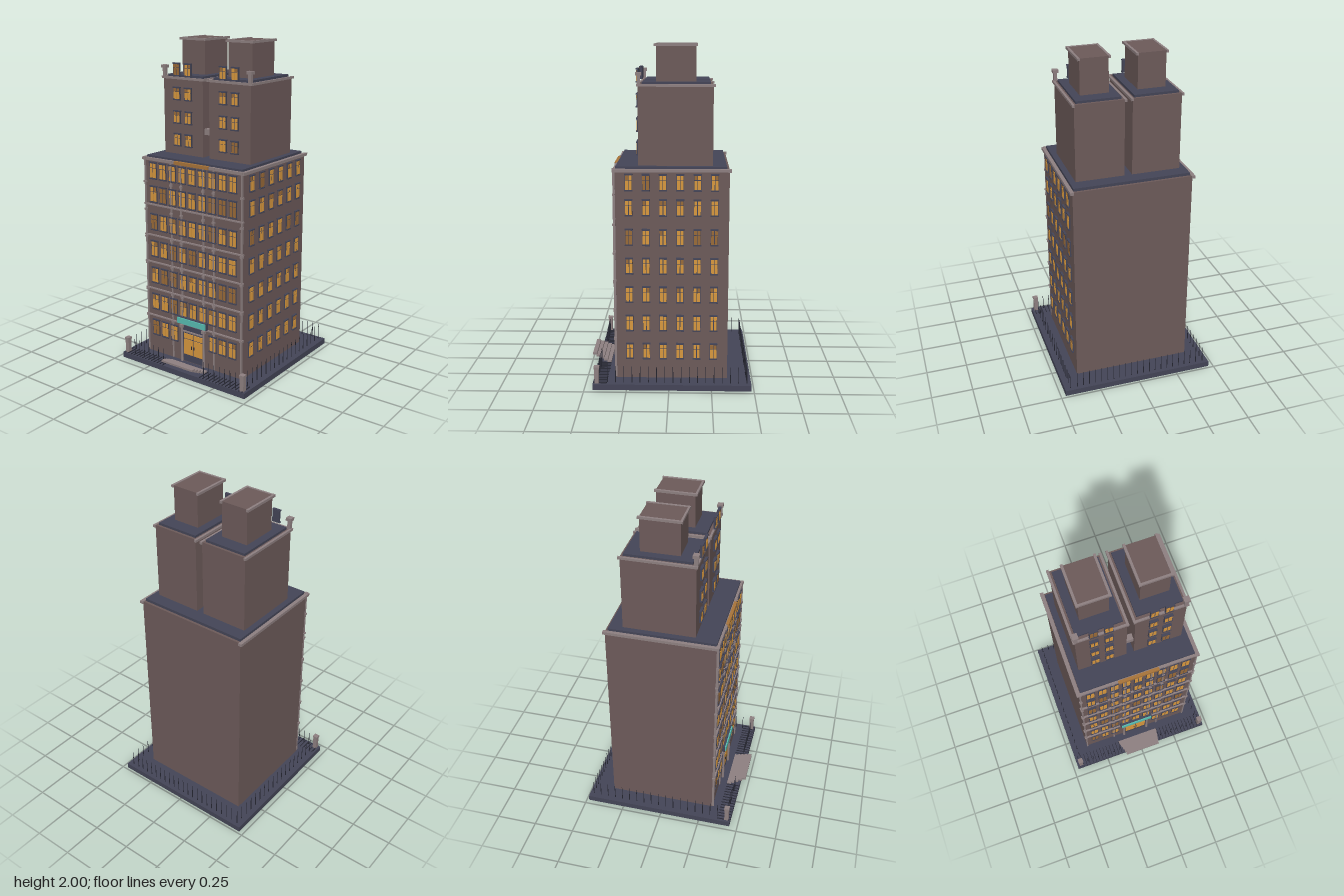
import * as THREE from 'three';

const mat = (name, color) => {
  const m = new THREE.MeshStandardMaterial({ color });
  m.name = name;
  return m;
};

export function createModel() {
  const M = {
    wall: mat('brown stone', 0x6d5b5a),
    trim: mat('pale stone', 0x8e8081),
    slate: mat('dark slate', 0x444557),
    lit: mat('lit amber', 0xd8983f),
    dim: mat('dim amber', 0x9a6b39),
    iron: mat('black iron', 0x2b2c38),
    teal: mat('teal canopy', 0x58bdb2),
    wood: mat('amber wood', 0xa8743a),
  };
  const root = new THREE.Group();
  root.name = 'towerBlock';
  const group = (name, parent = root) => {
    const g = new THREE.Group();
    g.name = name;
    parent.add(g);
    return g;
  };
  const unit = new THREE.BoxGeometry(1, 1, 1);
  // box given by its limits on each axis
  const box = (name, m, x0, x1, y0, y1, z0, z1, parent = root) => {
    const b = new THREE.Mesh(unit, m);
    b.name = name;
    b.scale.set(x1 - x0, y1 - y0, z1 - z0);
    b.position.set((x0 + x1) / 2, (y0 + y1) / 2, (z0 + z1) / 2);
    parent.add(b);
    return b;
  };
  // three-sided eaves: both sides and the front
  const eaves = (name, x0, x1, y0, y1, z0, z1, t) => {
    const g = group(name);
    box('eaveLeft', M.trim, x1 - t, x1, y0, y1, z0, z1, g);
    box('eaveRight', M.trim, x0, x0 + t, y0, y1, z0, z1, g);
    box('eaveFront', M.trim, x0 + t, x1 - t, y0, y1, z1 - t, z1 - 0.002, g);
  };
  // repeatable sequence for dimmed panes
  let seed = 7;
  const rand = () => (seed = (seed * 16807) % 2147483647) / 2147483647;

  // two-leaf window facing +z, with its back on z = 0
  const makeWindow = (name, w, h, x, y, z, parent, d = 0.008) => {
    const g = group(name, parent);
    g.position.set(x, y, z);
    box('frame', M.slate, -w / 2, w / 2, -h / 2, h / 2, -0.002, d, g);
    const leaf = rand() < 0.2 ? M.dim : M.lit;
    for (const s of [-1, 1]) {
      const cx = s * w * 0.245, pw = w * 0.2;
      box('lowerPane', leaf, cx - pw, cx + pw, -h * 0.45, h * 0.14, d, d + 0.002, g);
      box('upperPane', rand() < 0.3 ? M.dim : leaf, cx - pw, cx + pw, h * 0.18, h * 0.44, d, d + 0.002, g);
    }
    box('sill', M.slate, -w * 0.56, w * 0.56, -h / 2 - 0.004, -h / 2 + 0.002, 0, d + 0.005, g);
    box('lintel', M.slate, -w * 0.56, w * 0.56, h / 2 - 0.002, h / 2 + 0.005, 0, d + 0.005, g);
    return g;
  };

  // ground slab and main block
  box('groundSlab', M.slate, -0.47, 0.47, 0, 0.035, -0.485, 0.45);
  box('mainBlock', M.wall, -0.36, 0.36, 0.035, 1.295, -0.345, 0.317);
  box('mainRoof', M.slate, -0.35, 0.35, 1.295, 1.312, -0.33, 0.31);
  eaves('mainEaves', -0.375, 0.375, 1.283, 1.3, -0.355, 0.327, 0.022);
  box('goldenCornice', M.wood, -0.125, 0.125, 1.284, 1.303, 0.315, 0.333);

  // windows of the main block
  const rows = [0.205, 0.38, 0.555, 0.728, 0.9, 1.075, 1.222];
  const frontWindows = group('frontWindows');
  const sideWindows = group('sideWindows');
  rows.forEach((y, r) => {
    for (let i = -4; i <= 4; i++) {
      if (r === 0 && Math.abs(i) < 2) continue;
      makeWindow('frontWindow', 0.05, 0.098, i * 0.0737, y, 0.317, frontWindows, 0.006);
    }
    for (let i = 0; i < 6; i++) {
      makeWindow('sideWindow', 0.042, 0.092, 0.36, y, 0.234 - i * 0.099, sideWindows)
        .position.set(0.36, y, 0.234 - i * 0.099);
    }
  });
  sideWindows.children.forEach((w) => { w.rotation.y = Math.PI / 2; });

  // pilasters and string courses on the front
  const facade = group('facadeTrim');
  for (const x of [0.082, 0.158, 0.357]) {
    for (const s of [-1, 1]) {
      const low = x < 0.1 ? 0.29 : 0.04;
      box('pilaster', M.trim, s * x - 0.004, s * x + 0.004, low, 1.285, 0.312, 0.326, facade);
      for (const y of rows) if (y > low) {
        box('pilasterBlock', M.trim, s * x - 0.009, s * x + 0.009, y + 0.068, y + 0.08, 0.312, 0.329, facade);
      }
    }
  }
  for (const y of [0.285, 0.465, 0.64, 0.815, 1.01]) {
    box('stringCourse', M.trim, -0.368, 0.368, y - 0.004, y + 0.004, 0.31, 0.328, facade);
  }

  // entrance
  const entrance = group('entrance');
  box('doorFrame', M.slate, -0.08, 0.08, 0.04, 0.275, 0.315, 0.322, entrance);
  for (const s of [-1, 1]) {
    box('doorLeaf', M.lit, s * 0.037 - 0.034, s * 0.037 + 0.034, 0.088, 0.188, 0.322, 0.326, entrance);
    box('transomPane', M.lit, s * 0.037 - 0.034, s * 0.037 + 0.034, 0.194, 0.226, 0.322, 0.326, entrance);
    box('doorHandle', M.iron, s * 0.01 - 0.002, s * 0.01 + 0.002, 0.13, 0.15, 0.326, 0.33, entrance);
    const column = new THREE.Mesh(new THREE.CylinderGeometry(0.006, 0.009, 0.235, 8), M.trim);
    column.name = 'doorColumn';
    column.position.set(s * 0.084, 0.155, 0.328);
    entrance.add(column);
    box('columnCapital', M.trim, s * 0.084 - 0.012, s * 0.084 + 0.012, 0.262, 0.28, 0.317, 0.338, entrance);
  }
  box('doorLintel', M.trim, -0.075, 0.075, 0.236, 0.244, 0.317, 0.33, entrance);
  box('canopyBack', M.slate, -0.111, 0.111, 0.289, 0.333, 0.317, 0.338, entrance);
  box('canopySign', M.teal, -0.106, 0.106, 0.293, 0.329, 0.338, 0.346, entrance);

  // stepped slabs, narrowing as they rise forward
  const steps = group('steps');
  for (let i = 0; i < 5; i++) {
    const w = 0.14 - i * 0.0053, y = 0.036 + i * 0.011;
    box('step', M.trim, -w, w, y, y + 0.012, 0.368 + i * 0.023, 0.394 + i * 0.023, steps);
  }

  // gate posts
  for (const s of [-1, 1]) {
    const g = group('gatePost');
    g.position.set(s * 0.443, 0, 0.427);
    box('postShaft', M.trim, -0.013, 0.013, 0.035, 0.128, -0.013, 0.013, g);
    box('postCap', M.trim, -0.016, 0.016, 0.124, 0.137, -0.016, 0.016, g);
  }

  // iron fence and the rods laid along the front
  const fence = group('fence');
  const spikeShape = new THREE.CylinderGeometry(0.0015, 0.003, 0.1, 5);
  const spike = (x, z) => {
    const m = new THREE.Mesh(spikeShape, M.iron);
    m.name = 'fenceSpike';
    m.position.set(x, 0.085, z);
    fence.add(m);
  };
  for (let x = -0.39; x < 0.4; x += 0.039) {
    spike(x, -0.46);
    if (Math.abs(x) > 0.15) spike(x, 0.425);
  }
  for (let z = -0.46; z < 0.38; z += 0.0485) {
    spike(-0.435, z);
    spike(0.435, z);
  }
  for (let i = -19; i <= 19; i++) {
    const x = i * 0.0238;
    if (Math.abs(x) > 0.135) box('groundRod', M.iron, x - 0.0015, x + 0.0015, 0.035, 0.041, 0.367, 0.449, fence);
  }

  // twin upper towers
  for (const s of [-1, 1]) {
    const c = s * 0.169;
    box('upperTower', M.wall, c - 0.146, c + 0.146, 1.3, 1.773, -0.25, 0.18);
    box('towerRoof', M.slate, c - 0.132, c + 0.132, 1.772, 1.787, -0.235, 0.157);
    eaves('towerEaves', c - 0.157, c + 0.157, 1.762, 1.776, -0.26, 0.188, 0.014);
    box('penthouse', M.wall, s * 0.169 - 0.084, s * 0.169 + 0.084, 1.78, 1.997, -0.152, 0.077);
    eaves('penthouseEaves', c - 0.096, c + 0.096, 1.986, 2, -0.16, 0.09, 0.014);

    // corner pinnacle
    const p = group('pinnacle');
    p.position.set(s * 0.309, 0, 0.176);
    box('pinnacleShaft', M.trim, -0.01, 0.01, 1.77, 1.826, -0.01, 0.01, p);
    box('pinnacleCap', M.trim, -0.017, 0.017, 1.824, 1.842, -0.017, 0.017, p);

    // tower windows, the top row rising above the roof edge
    const tw = group('towerWindows');
    for (const y of [1.4, 1.537, 1.678, 1.82]) {
      for (const x of [0.127, 0.211]) makeWindow('towerWindow', 0.046, 0.07, s * x, y, 0.18, tw, 0.011);
    }
  }
  box('towerBridge', M.trim, -0.026, 0.026, 1.447, 1.482, 0.13, 0.167);

  return root;
}
